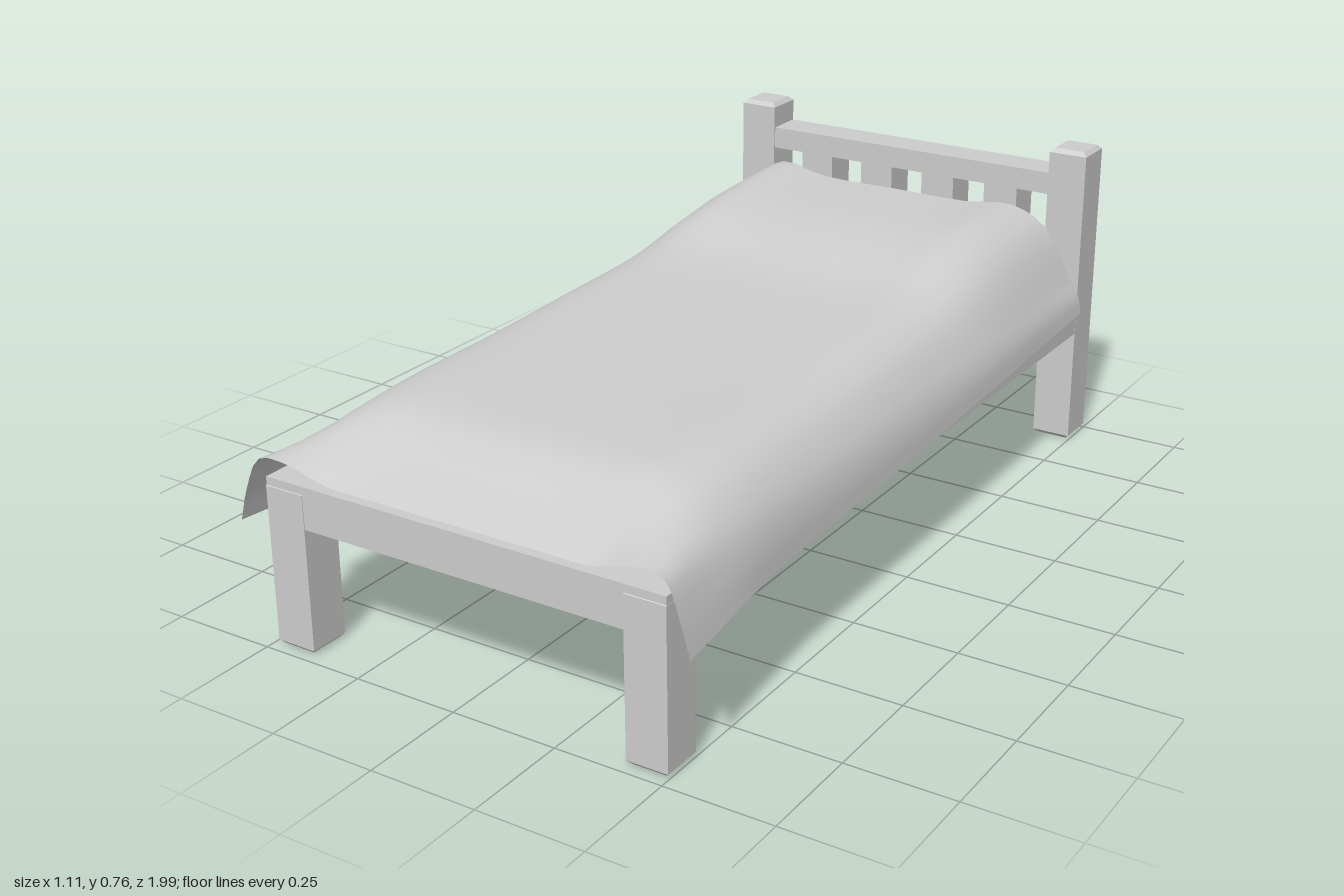
import * as THREE from 'three';

const grey = new THREE.MeshStandardMaterial({ color: 0xcccccc });
grey.name = 'plain grey';
grey.side = THREE.DoubleSide;
const CX = 0.006; // the frame sits a touch off centre

function add(parent, name, geometry, x = 0, y = 0, z = 0) {
  const mesh = new THREE.Mesh(geometry, grey);
  mesh.name = name;
  mesh.position.set(x, y, z);
  parent.add(mesh);
  return mesh;
}

function box(parent, name, x0, x1, y0, y1, z0, z1) {
  return add(parent, name, new THREE.BoxGeometry(x1 - x0, y1 - y0, z1 - z0),
    (x0 + x1) / 2, (y0 + y1) / 2, (z0 + z1) / 2);
}

// Square post standing on y = 0 with chamfered ends
function postGeometry(width, depth, height, chamfer = 0.01) {
  const w = width / 2, d = depth / 2;
  const shape = new THREE.Shape([
    new THREE.Vector2(-w, -d), new THREE.Vector2(w, -d),
    new THREE.Vector2(w, d), new THREE.Vector2(-w, d),
  ]);
  const geometry = new THREE.ExtrudeGeometry(shape, {
    depth: height - 2 * chamfer, bevelThickness: chamfer,
    bevelSize: chamfer, bevelOffset: -chamfer, bevelSegments: 1,
  });
  return geometry.translate(0, 0, chamfer).rotateX(-Math.PI / 2);
}

// Draped cover, one row per station along the bed:
// z, centre y, ridge y, shoulder y, side x, side y, hem x, hem y, hem z
const STATIONS = [
  [-0.845, 0.61, 0.622, 0.575, 0.485, 0.45, 0.518, 0.36, -0.873],
  [-0.62, 0.605, 0.617, 0.565, 0.485, 0.45, 0.515, 0.345, -0.63],
  [-0.48, 0.588, 0.597, 0.55, 0.485, 0.445, 0.515, 0.335, -0.48],
  [-0.28, 0.545, 0.55, 0.518, 0.485, 0.435, 0.515, 0.325, -0.28],
  [0, 0.53, 0.533, 0.507, 0.485, 0.43, 0.515, 0.31, 0],
  [0.3, 0.517, 0.521, 0.497, 0.485, 0.425, 0.515, 0.3, 0.3],
  [0.6, 0.512, 0.517, 0.493, 0.485, 0.425, 0.517, 0.29, 0.6],
  [0.76, 0.498, 0.502, 0.48, 0.485, 0.425, 0.53, 0.285, 0.76],
  [0.88, 0.445, 0.45, 0.455, 0.487, 0.43, 0.543, 0.28, 0.89],
  [0.972, 0.404, 0.406, 0.432, 0.495, 0.432, 0.555, 0.28, 0.988],
];

function sectionPoints([z, centreY, ridgeY, shoulderY, sideX, sideY, hemX, hemY, hemZ]) {
  const half = [
    [0.2, centreY, z], [0.33, ridgeY, z], [0.42, shoulderY, z + (hemZ - z) * 0.3],
    [sideX, sideY, z + (hemZ - z) * 0.7],
    [(sideX + hemX) / 2 + 0.008, (sideY + hemY) / 2, hemZ], [hemX, hemY, hemZ],
  ];
  const right = half.map(([x, y, d]) => new THREE.Vector3(x, y, d));
  const left = half.map(([x, y, d]) => new THREE.Vector3(-x, y, d)).reverse();
  return [...left, new THREE.Vector3(0, centreY, z), ...right];
}

function coverGeometry(across = 36, along = 36) {
  const sections = STATIONS.map((s) => new THREE.CatmullRomCurve3(sectionPoints(s)));
  const geometry = new THREE.PlaneGeometry(1, 1, across, along);
  const position = geometry.attributes.position;
  for (let i = 0; i <= across; i++) {
    const line = new THREE.CatmullRomCurve3(sections.map((c) => c.getPoint(i / across)));
    for (let j = 0; j <= along; j++) {
      const p = line.getPoint(j / along);
      // slightly higher crease at the head on one side
      const crease = 0.01 * Math.exp(-(((p.x + 0.32) / 0.06) ** 2) - ((p.z + 0.83) / 0.12) ** 2);
      position.setXYZ(j * (across + 1) + i, p.x + 0.003, p.y + crease, p.z);
    }
  }
  geometry.computeVertexNormals();
  return geometry;
}

export function createModel() {
  const bed = new THREE.Group();
  bed.name = 'bed';

  // Frame: solid base, front legs and tall head posts
  const frame = new THREE.Group();
  frame.name = 'frame';
  bed.add(frame);
  box(frame, 'base', CX - 0.492, CX + 0.492, 0.293, 0.39, -0.999, 0.974);
  for (const side of [-1, 1]) {
    const label = side > 0 ? 'left' : 'right';
    const x = CX + side * 0.444;
    add(frame, label + 'FrontLeg', postGeometry(0.097, 0.097, 0.38), x, 0, 0.927);
    add(frame, label + 'HeadPost', postGeometry(0.097, 0.099, 0.765), x, 0, -0.95);
  }

  // Headboard: top rail over four slats
  const headboard = new THREE.Group();
  headboard.name = 'headboard';
  bed.add(headboard);
  box(headboard, 'topRail', CX - 0.4, CX + 0.4, 0.645, 0.7, -0.998, -0.905);
  for (let i = 0; i < 4; i++) {
    const x = CX + (i - 1.5) * 0.177;
    box(headboard, 'slat', x - 0.045, x + 0.045, 0.385, 0.65, -0.998, -0.905);
  }

  // Cover
  add(bed, 'cover', coverGeometry());
  return bed;
}
